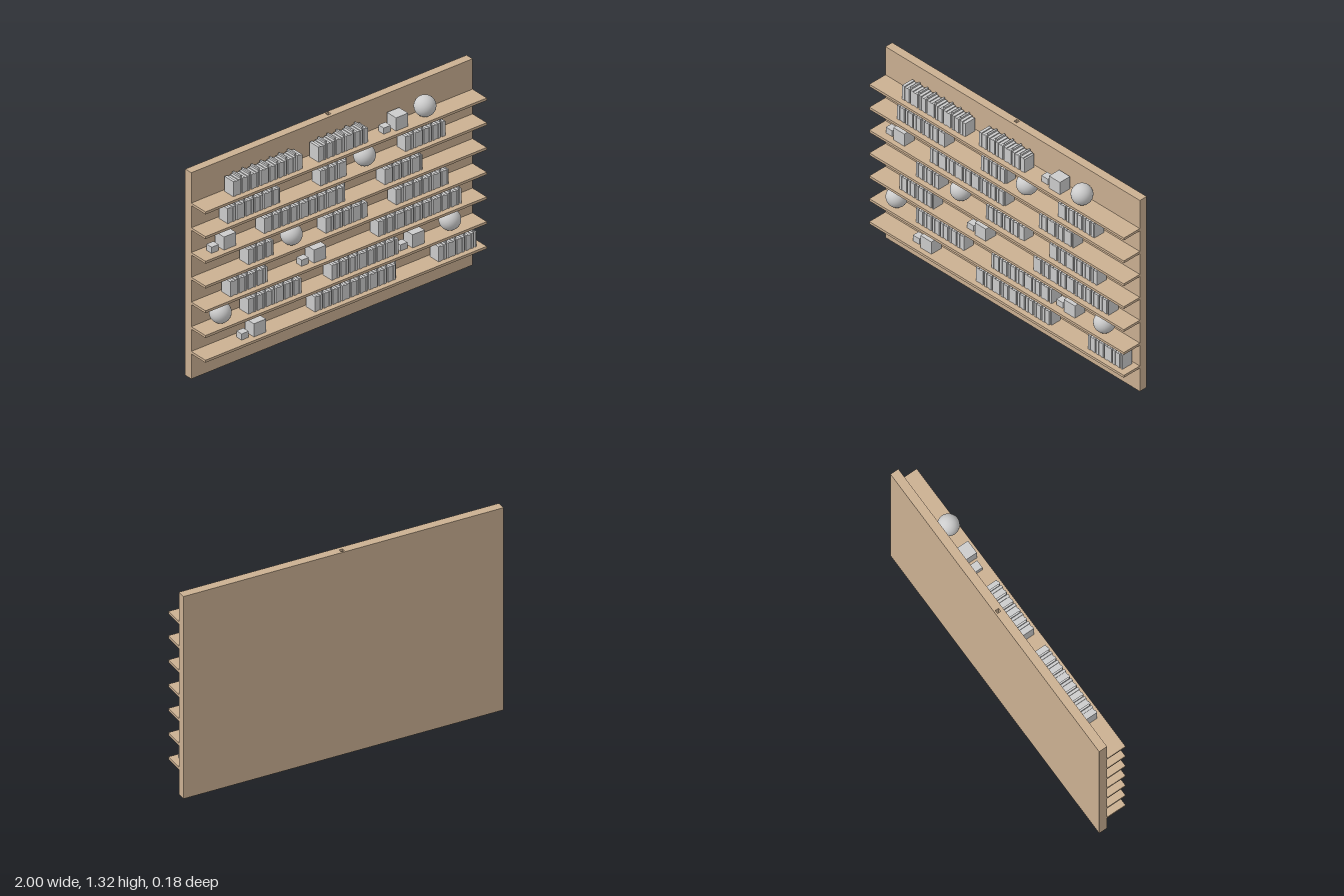
import * as THREE from 'three';

const wood = new THREE.MeshStandardMaterial({ color: 0xcbb092 });
wood.name = 'wood';
const grey = new THREE.MeshStandardMaterial({ color: 0xcccccc });
grey.name = 'light grey';

const SHELF_TOPS = [1.124, 0.966, 0.808, 0.65, 0.492, 0.334, 0.176];
const SHELF_FRONT = 0.089, BOARD_FRONT = -0.036, BOARD_BACK = -0.089;

// Contents of each shelf: book rows [left, right], left edge of block pairs, ball centres
const ROWS = [
  { books: [[-0.775, -0.28], [-0.17, 0.185]], blocks: [0.305], balls: [0.61] },
  { books: [[-0.815, -0.443], [-0.155, 0.037], [0.45, 0.735]], blocks: [], balls: [0.18] },
  { books: [[-0.555, 0.028], [0.302, 0.569]], blocks: [-0.918], balls: [] },
  { books: [[-0.668, -0.49], [-0.117, 0.185], [0.383, 0.755]], blocks: [], balls: [-0.34] },
  { books: [[-0.797, -0.531], [0.257, 0.847]], blocks: [-0.278], balls: [] },
  { books: [[-0.668, -0.291], [-0.074, 0.402]], blocks: [0.423], balls: [-0.845, 0.787] },
  { books: [[-0.195, 0.393], [0.685, 0.955]], blocks: [-0.705], balls: [] },
];

// Repeating set of books: width, height, depth
const BOOKS = [
  [0.018, 0.096, 0.077],
  [0.020, 0.090, 0.074],
  [0.016, 0.095, 0.077],
  [0.011, 0.107, 0.067],
];

function box(parent, name, mat, w, h, d, x, y, z) {
  const mesh = new THREE.Mesh(new THREE.BoxGeometry(w, h, d), mat);
  mesh.name = name;
  mesh.position.set(x, y + h / 2, z);
  parent.add(mesh);
}

// A row of upright books filling left..right, backs aligned
function bookRow(left, right, y) {
  const row = new THREE.Group();
  row.name = 'bookRow';
  const back = -0.021;
  let x = left;
  for (let i = 0; x < right - 0.004; i++) {
    const [w0, h, d] = BOOKS[i % BOOKS.length];
    const w = Math.min(w0, right - x);
    box(row, 'book', grey, w, h, d, x + w / 2, y, back + d / 2);
    x += w;
  }
  return row;
}

// Back board with a narrow square channel running from top to bottom
function backBoard() {
  const height = 1.318, mid = 0.068, r = 0.011;
  const shape = new THREE.Shape([
    new THREE.Vector2(-1, -BOARD_FRONT), new THREE.Vector2(1, -BOARD_FRONT),
    new THREE.Vector2(1, -BOARD_BACK), new THREE.Vector2(-1, -BOARD_BACK),
  ]);
  shape.holes.push(new THREE.Path([
    new THREE.Vector2(-r, mid - r), new THREE.Vector2(-r, mid + r),
    new THREE.Vector2(r, mid + r), new THREE.Vector2(r, mid - r),
  ]));
  const geo = new THREE.ExtrudeGeometry(shape, { depth: height, bevelEnabled: false });
  geo.rotateX(-Math.PI / 2);
  const mesh = new THREE.Mesh(geo, wood);
  mesh.name = 'backBoard';
  return mesh;
}

export function createModel() {
  const model = new THREE.Group();
  model.name = 'wallShelf';
  model.add(backBoard());

  const ballGeo = new THREE.SphereGeometry(0.063, 32, 20);
  ROWS.forEach((row, i) => {
    const top = SHELF_TOPS[i];
    const shelf = new THREE.Group();
    shelf.name = 'shelf' + (i + 1);
    model.add(shelf);

    // Plank
    const depth = SHELF_FRONT - BOARD_FRONT;
    box(shelf, 'plank', wood, 2, 0.016, depth, 0, top - 0.016, BOARD_FRONT + depth / 2);

    for (const [a, b] of row.books) shelf.add(bookRow(a, b, top));

    // Small and large block side by side
    for (const x of row.blocks) {
      box(shelf, 'smallBlock', grey, 0.05, 0.039, 0.046, x + 0.025, top, 0.019);
      box(shelf, 'largeBlock', grey, 0.086, 0.084, 0.079, x + 0.118, top, 0.018);
    }

    for (const x of row.balls) {
      const ball = new THREE.Mesh(ballGeo, grey);
      ball.name = 'ball';
      ball.position.set(x, top + 0.065, 0.028);
      shelf.add(ball);
    }
  });
  return model;
}
